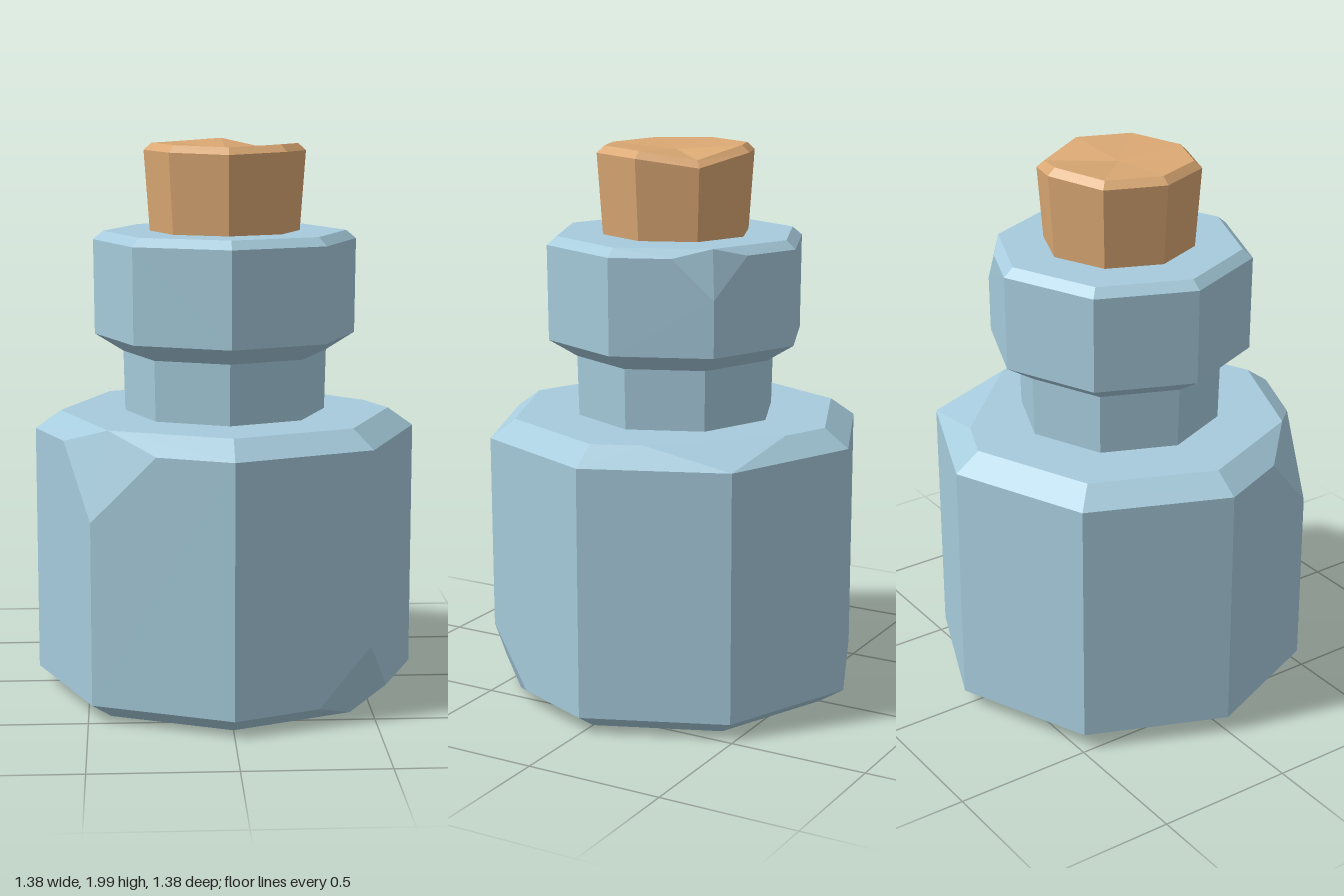
import * as THREE from 'three';
import { ConvexGeometry } from 'three/addons/geometries/ConvexGeometry.js';

const SIDES = 8;

// Octagonal ring with corners on the axes; corner 0 is +z, 1 front left, 2 +x, 3 back left, 7 front right.
function ring(radius, y, skip = -1) {
  const points = [];
  for (let i = 0; i < SIDES; i++) {
    if (i === skip) continue;
    const a = (i / SIDES) * Math.PI * 2;
    points.push(new THREE.Vector3(Math.sin(a) * radius, y, Math.cos(a) * radius));
  }
  return points;
}

// Pair of points mirrored across a diagonal corner, used for chipped edges.
function pair(a, b, y, sx, sz) {
  return [new THREE.Vector3(sx * a, y, sz * b), new THREE.Vector3(sx * b, y, sz * a)];
}

export function createModel() {
  const glass = new THREE.MeshStandardMaterial({ color: 0xa6cbdc });
  glass.name = 'paleBlueGlass';
  const corkMaterial = new THREE.MeshStandardMaterial({ color: 0xdaa873 });
  corkMaterial.name = 'corkBrown';

  const group = new THREE.Group();
  group.name = 'corkedBottle';
  const add = (name, geometry, material) => {
    const mesh = new THREE.Mesh(geometry, material);
    mesh.name = name;
    group.add(mesh);
    return mesh;
  };

  // Body: bevelled octagon with three chipped corners
  add('body', new ConvexGeometry([
    ...ring(0.595, 0.01),
    ...ring(0.688, 0.07, 1),
    new THREE.Vector3(0.486, 0.27, 0.486), ...pair(0.3, 0.564, 0.07, 1, 1),
    ...ring(0.688, 0.965, 7),
    new THREE.Vector3(-0.486, 0.72, 0.486), ...pair(0.26, 0.58, 0.965, -1, 1),
    ...ring(0.597, 1.03, 3),
    ...pair(0.17, 0.527, 1.03, 1, -1),
  ]), glass);

  // Neck
  const neckGeometry = new THREE.CylinderGeometry(0.368, 0.362, 0.26, SIDES, 1, true).toNonIndexed();
  neckGeometry.computeVertexNormals();
  add('neck', neckGeometry, glass).position.y = 1.14;

  // Collar: flared below, bevelled above, one chipped corner
  add('collar', new ConvexGeometry([
    ...ring(0.365, 1.245),
    ...ring(0.47, 1.31),
    ...ring(0.473, 1.65, 3),
    new THREE.Vector3(0.334, 1.51, -0.334), ...pair(0.2, 0.39, 1.65, 1, -1),
    ...ring(0.437, 1.68, 3),
    new THREE.Vector3(0.3, 1.68, -0.31),
  ]), glass);

  // Cork: tapered plug with a slightly uneven, dished top
  const profile = [[0, 1.66], [0.268, 1.66], [0.29, 1.965], [0.262, 1.99], [0, 1.972]]
    .map(([r, y]) => new THREE.Vector2(r, y));
  const lathe = new THREE.LatheGeometry(profile, SIDES);
  const lift = [-0.005, 0.002, 0, -0.03, 0.01, 0, 0.002, 0];
  const p = lathe.attributes.position;
  for (let i = 0; i < p.count; i++) {
    const corner = Math.floor(i / profile.length) % SIDES;
    const level = i % profile.length;
    if (level === 2 || level === 3) p.setY(i, p.getY(i) + lift[corner]);
  }
  const corkGeometry = lathe.toNonIndexed();
  corkGeometry.computeVertexNormals();
  add('cork', corkGeometry, corkMaterial);

  return group;
}
